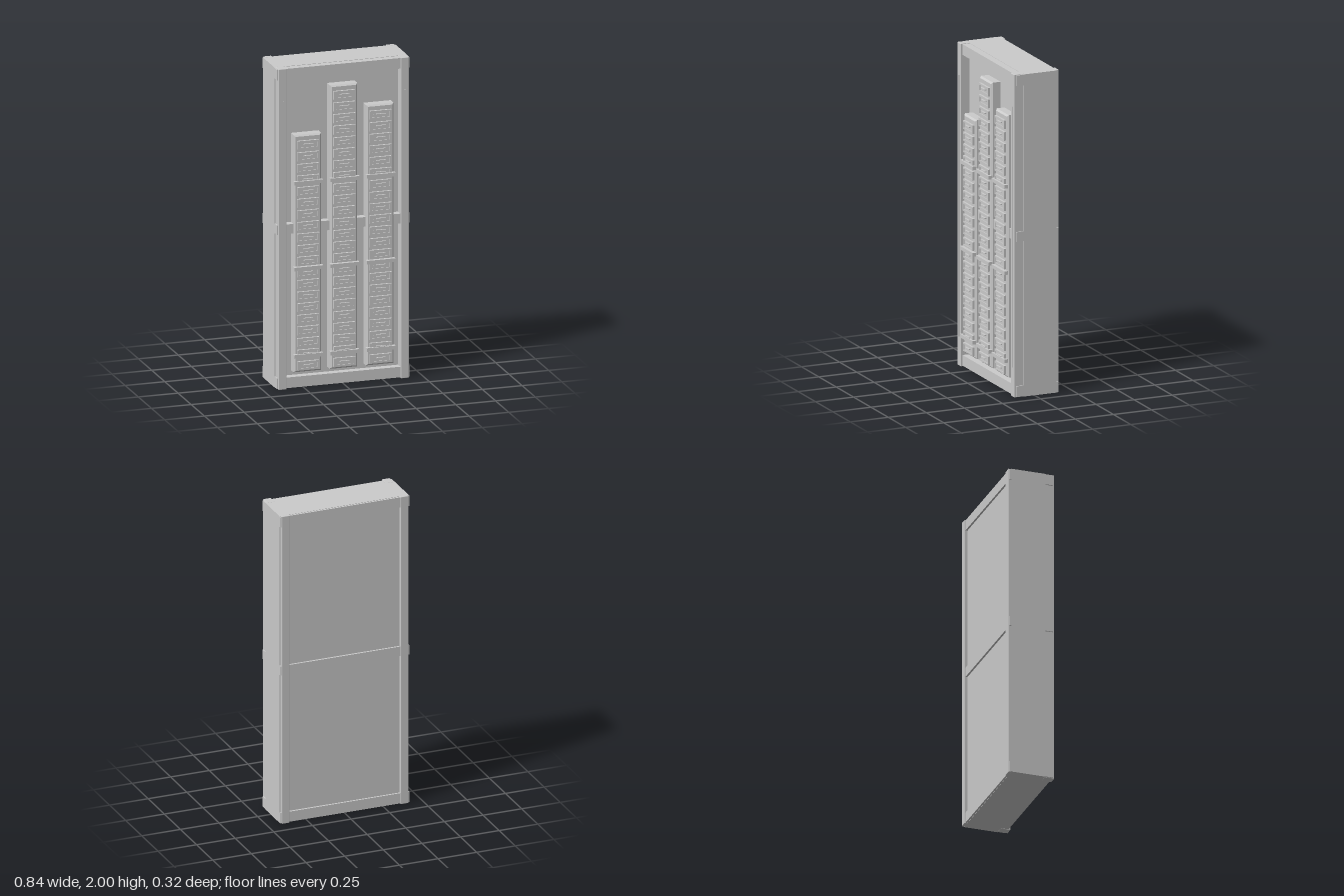
import * as THREE from 'three';
import { RoundedBoxGeometry } from 'three/addons/geometries/RoundedBoxGeometry.js';

const grey = new THREE.MeshStandardMaterial({ color: 0xcccccc });

function add(parent, name, geometry) {
  const mesh = new THREE.Mesh(geometry, grey);
  mesh.name = name;
  parent.add(mesh);
  return mesh;
}

// Box given by its extents; r rounds the edges
function box(parent, name, x0, x1, y0, y1, z0, z1, r = 0) {
  const size = [x1 - x0, y1 - y0, z1 - z0];
  const geo = r ? new RoundedBoxGeometry(...size, 2, r) : new THREE.BoxGeometry(...size);
  const mesh = add(parent, name, geo);
  mesh.position.set((x0 + x1) / 2, (y0 + y1) / 2, (z0 + z1) / 2);
  return mesh;
}

function rect(target, w, h) {
  target.moveTo(-w / 2, -h / 2);
  target.lineTo(w / 2, -h / 2);
  target.lineTo(w / 2, h / 2);
  target.lineTo(-w / 2, h / 2);
  target.closePath();
  return target;
}

const LEVELS = [[0.004, 0.07], [0.965, 1.025], [1.93, 1.996]];

// Posts, rails and side blocks of one face; zIn is the body face
function faceFrame(parent, label, zIn, zRail, zPost) {
  const span = (z) => [Math.min(zIn, z), Math.max(zIn, z)];
  for (const s of [-1, 1]) {
    const [a, b] = s < 0 ? [-0.41, -0.36] : [0.36, 0.41];
    box(parent, label + 'Post', a, b, 0, 2, ...span(zPost), 0.003);
    const [c, d] = s < 0 ? [-0.418, -0.4] : [0.4, 0.418];
    for (const [y0, y1] of LEVELS) box(parent, label + 'SideBlock', c, d, y0, y1, ...span(zRail));
  }
  for (const [y0, y1] of LEVELS) box(parent, label + 'Rail', -0.37, 0.37, y0, y1, ...span(zRail));
}

// Drawer front: raised border, recessed panel, pull and optional lock
function drawer(lock) {
  const g = new THREE.Group();
  g.name = 'drawer';
  const border = rect(new THREE.Shape(), 0.137, 0.053);
  border.holes.push(rect(new THREE.Path(), 0.112, 0.032));
  add(g, 'drawerBorder', new THREE.ExtrudeGeometry(border, { depth: 0.014, bevelEnabled: false }));
  box(g, 'drawerPanel', -0.056, 0.056, -0.016, 0.016, 0, 0.009);
  box(g, 'drawerPull', -0.03, 0.03, 0.002, 0.007, 0.008, 0.02);
  if (lock) box(g, 'drawerLock', -0.046, -0.042, -0.008, 0.002, 0.008, 0.015);
  return g;
}

// Column of drawers with a chamfered front and three straps
function drawerColumn(x, count, lock) {
  const g = new THREE.Group();
  g.name = 'drawerColumn';
  g.position.x = x;
  const pitch = 0.0724, bottom = 0.1;
  const h = count * pitch + 0.032, bevel = 0.01;
  const tower = add(g, 'columnBody', new THREE.ExtrudeGeometry(
    rect(new THREE.Shape(), 0.173 - 2 * bevel, h - 2 * bevel),
    { depth: 0.06, bevelSize: bevel, bevelThickness: bevel, bevelSegments: 1 }));
  tower.position.set(0, bottom + h / 2, 0.064);
  for (let i = 0; i < count; i++) {
    const d = drawer(lock);
    d.position.set(0, 0.143 + i * pitch, 0.133);
    g.add(d);
  }
  for (const y of [0.205, 0.75, 1.285]) box(g, 'strap', -0.091, 0.091, y - 0.011, y + 0.011, 0.13, 0.156);
  return g;
}

export function createModel() {
  const model = new THREE.Group();
  model.name = 'drawerCabinet';

  // Solid carcass with frames on both faces
  box(model, 'carcass', -0.418, 0.418, 0.002, 1.998, -0.142, 0.074);
  faceFrame(model, 'front', 0.07, 0.12, 0.132);
  faceFrame(model, 'back', -0.139, -0.154, -0.16);

  // Thin trim strips on the front posts
  for (const x of [-0.384, 0.384]) {
    box(model, 'trimStrip', x - 0.003, x + 0.003, 0.18, 1.8, 0.13, 0.136);
  }

  model.add(drawerColumn(-0.228, 20, false));
  model.add(drawerColumn(0, 24, false));
  model.add(drawerColumn(0.228, 22, true));
  return model;
}
